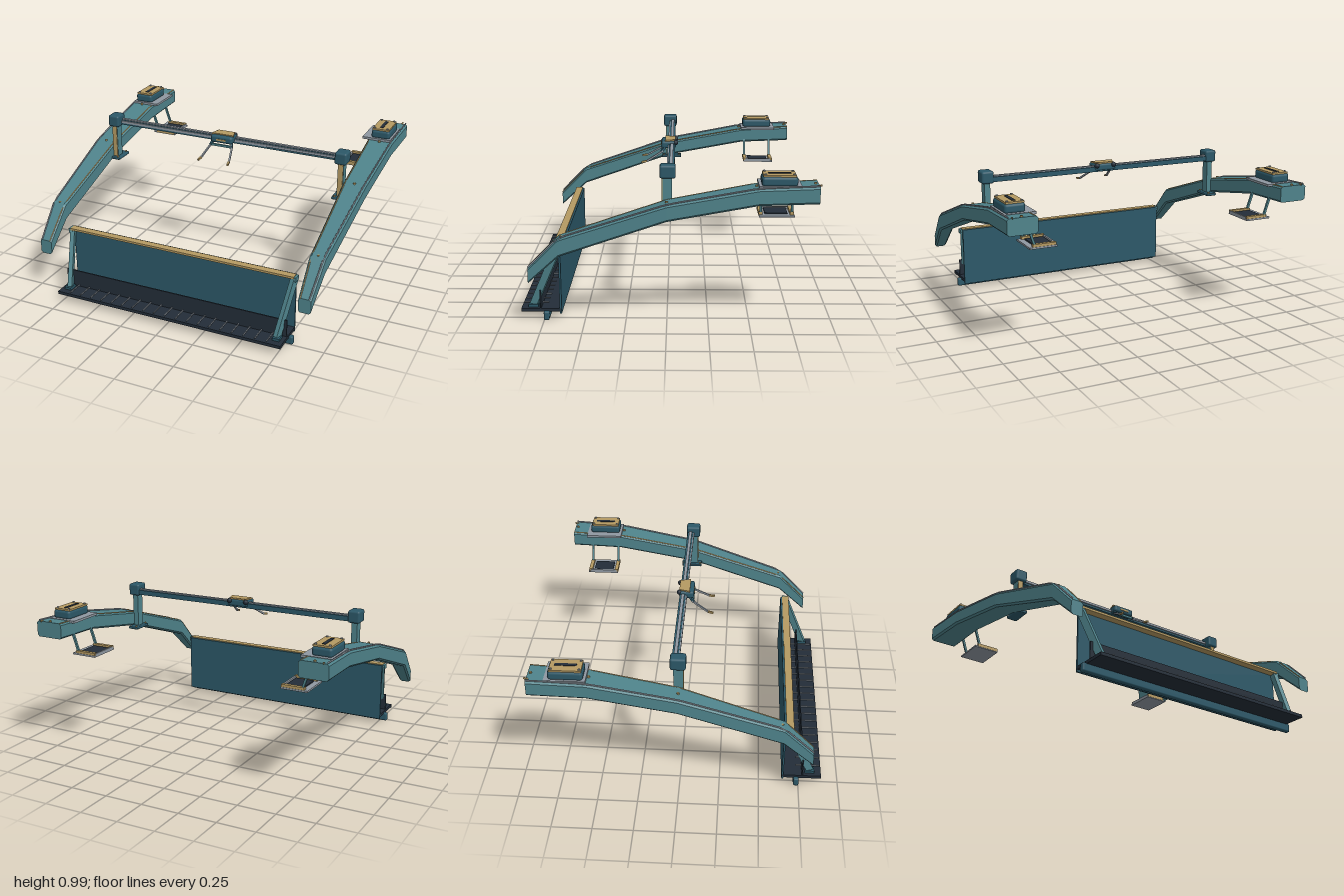
import * as THREE from 'three';
import { RoundedBoxGeometry } from 'three/addons/geometries/RoundedBoxGeometry.js';

const mat = (name, color, side = THREE.FrontSide) => {
  const m = new THREE.MeshStandardMaterial({ color, side });
  m.name = name;
  return m;
};
const teal = mat('teal', 0x4f838b);
const deep = mat('deepTeal', 0x2c5868);
const navy = mat('navy', 0x232d38);
const tan = mat('tan', 0xb59a62);
const grey = mat('grey', 0x8f98a1);

const add = (parent, name, geo, material, x = 0, y = 0, z = 0) => {
  const m = new THREE.Mesh(geo, material);
  m.name = name;
  m.position.set(x, y, z);
  parent.add(m);
  return m;
};

// Box given by its min and max on each axis; r rounds the edges
function box(parent, name, material, x0, x1, y0, y1, z0, z1, r = 0) {
  const s = [x1 - x0, y1 - y0, z1 - z0];
  const geo = r ? new RoundedBoxGeometry(...s, 2, r) : new THREE.BoxGeometry(...s);
  return add(parent, name, geo, material, (x0 + x1) / 2, (y0 + y1) / 2, (z0 + z1) / 2);
}

// Rectangular bar between two points
function bar(parent, name, material, a, b, w, h) {
  const p = new THREE.Vector3(...a), q = new THREE.Vector3(...b);
  const m = add(parent, name, new THREE.BoxGeometry(w, h, p.distanceTo(q)), material);
  m.position.copy(p).add(q).multiplyScalar(0.5);
  m.lookAt(q);
  return m;
}

// Thin pipe with straight runs through the given points
function pipe(parent, name, material, pts, r) {
  const path = new THREE.CurvePath();
  const v = pts.map(p => new THREE.Vector3(...p));
  for (let i = 1; i < v.length; i++) path.add(new THREE.LineCurve3(v[i - 1], v[i]));
  return add(parent, name, new THREE.TubeGeometry(path, 24, r, 6), material);
}

// Arm stations, front to back: z, bottom, top, inner x, outer x
const stations = [
  [0.82, 0.285, 0.38, 0.85, 0.93],
  [0.635, 0.455, 0.567, 0.845, 0.945],
  [0, 0.68, 0.78, 0.83, 0.978],
  [-0.53, 0.78, 0.88, 0.82, 0.99],
  [-0.875, 0.795, 0.897, 0.815, 1.0],
];

// Bent arm lofted from chamfered rectangles; s is the side
function armGeometry(s) {
  const c = 0.012;
  const loops = stations.map(([z, b, t, i, o]) => [
    [i + c, b], [o - c, b], [o, b + c], [o, t - c], [o - c, t], [i + c, t], [i, t - c], [i, b + c],
  ].map(([x, y]) => [s * x, y, z]));
  const pos = [];
  const tri = (a, b, d) => pos.push(...(s > 0 ? [a, b, d] : [a, d, b]).flat());
  for (let k = 0; k + 1 < loops.length; k++) {
    for (let j = 0; j < 8; j++) {
      const n = (j + 1) % 8, A = loops[k], B = loops[k + 1];
      tri(A[j], B[j], B[n]);
      tri(A[j], B[n], A[n]);
    }
  }
  const F = loops[0], R = loops[loops.length - 1];
  for (let j = 1; j < 7; j++) {
    tri(F[0], F[j], F[j + 1]);
    tri(R[0], R[j + 1], R[j]);
  }
  const g = new THREE.BufferGeometry();
  g.setAttribute('position', new THREE.Float32BufferAttribute(pos, 3));
  g.computeVertexNormals();
  return g;
}

// Box mirrored to side s
const sideBox = (p, n, m, s, x0, x1, ...rest) =>
  box(p, n, m, s > 0 ? x0 : -x1, s > 0 ? x1 : -x0, ...rest);

function buildArm(s) {
  const g = new THREE.Group();
  g.name = s > 0 ? 'leftArm' : 'rightArm';
  add(g, 'armBeam', armGeometry(s), teal);
  // Edge trims along the top of the arm
  pipe(g, 'outerHose', grey, stations.map(([z, , t, , o]) => [s * (o - 0.012), t + 0.004, z]), 0.005);
  pipe(g, 'innerTrim', tan, stations.map(([z, , t, i]) => [s * (i + 0.012), t - 0.001, z]), 0.004);
  // Studs at the bends and ends
  for (const [z, , t, i, o] of stations) {
    add(g, 'stud', new THREE.CylinderGeometry(0.008, 0.008, 0.01, 10), tan,
      s * (i + o) / 2, t + 0.002, z * 0.98);
  }
  pipe(g, 'rearPin', tan, [[s * 0.965, 0.895, -0.86], [s * 0.965, 0.9, -0.888]], 0.006);

  // Control pod on the rear
  sideBox(g, 'podPlate', grey, s, 0.785, 0.975, 0.88, 0.895, -0.775, -0.53);
  sideBox(g, 'podBody', deep, s, 0.838, 0.965, 0.888, 0.947, -0.752, -0.545, 0.018);
  sideBox(g, 'podCap', tan, s, 0.842, 0.957, 0.945, 0.956, -0.742, -0.553);
  sideBox(g, 'podSlot', navy, s, 0.886, 0.908, 0.955, 0.959, -0.715, -0.585);
  for (const z of [-0.73, -0.565]) for (const x of [0.855, 0.944]) {
    add(g, 'podScrew', new THREE.CylinderGeometry(0.007, 0.007, 0.014, 10), grey, s * x, 0.956, z);
  }

  // Hanging step
  for (const z of [-0.74, -0.555]) {
    bar(g, 'stepHanger', teal, [s * 0.825, 0.8, z], [s * 0.785, 0.68, z], 0.014, 0.014);
    sideBox(g, 'stepRail', tan, s, 0.655, 0.8, 0.672, 0.694, z - 0.012, z + 0.012);
  }
  sideBox(g, 'stepBase', grey, s, 0.652, 0.822, 0.667, 0.678, -0.755, -0.545);
  sideBox(g, 'stepPad', navy, s, 0.672, 0.785, 0.677, 0.686, -0.715, -0.58);
  sideBox(g, 'stepLip', grey, s, 0.652, 0.664, 0.67, 0.69, -0.74, -0.555);

  // Gantry post
  sideBox(g, 'postFoot', deep, s, 0.772, 0.845, 0.672, 0.69, -0.085, 0.055, 0.006);
  sideBox(g, 'post', teal, s, 0.797, 0.835, 0.685, 0.93, -0.032, 0.024);
  sideBox(g, 'postStrip', tan, s, 0.8, 0.832, 0.69, 0.91, 0.024, 0.029);
  sideBox(g, 'postHead', deep, s, 0.775, 0.855, 0.907, 0.987, -0.052, 0.042, 0.014);
  for (const z of [-0.07, 0.043]) {
    add(g, 'footBolt', new THREE.CylinderGeometry(0.007, 0.007, 0.01, 10), tan, s * 0.79, 0.692, z);
  }
  return g;
}

function buildGantry() {
  const g = new THREE.Group();
  g.name = 'gantry';
  box(g, 'crossBeam', deep, -0.78, 0.78, 0.916, 0.948, -0.045, -0.006);
  box(g, 'topRail', grey, -0.78, 0.78, 0.946, 0.956, -0.034, -0.014);
  box(g, 'frontRail', grey, -0.78, 0.78, 0.93, 0.946, -0.006, 0.002);
  // Sliding carriage with two fingers
  box(g, 'carriage', deep, -0.077, 0.077, 0.92, 0.97, -0.05, 0.046, 0.016);
  const cap = new THREE.Shape([[-0.058, 0.048], [0.058, 0.048], [0.077, -0.02], [-0.077, -0.02]]
    .map(p => new THREE.Vector2(...p)));
  const capMesh = add(g, 'carriageCap', new THREE.ExtrudeGeometry(cap, { depth: 0.009, bevelEnabled: false }), tan, 0, 0.968, 0);
  capMesh.rotation.x = -Math.PI / 2;
  box(g, 'carriagePlate', tan, -0.033, 0.033, 0.938, 0.949, 0.044, 0.05);
  bar(g, 'fingerCrossbar', teal, [-0.078, 0.905, 0.04], [0.078, 0.905, 0.04], 0.014, 0.014);
  for (const s of [-1, 1]) {
    add(g, 'carriageKnob', new THREE.SphereGeometry(0.017, 12, 8), navy, s * 0.06, 0.957, -0.048);
    bar(g, 'fingerMount', deep, [s * 0.065, 0.93, 0.02], [s * 0.075, 0.9, 0.045], 0.016, 0.016);
    bar(g, 'finger', grey, [s * 0.075, 0.905, 0.035], [s * 0.1, 0.842, 0.14], 0.011, 0.011);
    bar(g, 'fingerTip', tan, [s * 0.1, 0.842, 0.14], [s * 0.105, 0.836, 0.175], 0.012, 0.012);
  }
  return g;
}

function buildTray() {
  const g = new THREE.Group();
  g.name = 'frontTray';
  box(g, 'backPanel', deep, -0.775, 0.775, 0.035, 0.432, 0.644, 0.656);
  box(g, 'topBar', tan, -0.775, 0.775, 0.424, 0.438, 0.656, 0.703);
  box(g, 'trayFloor', navy, -0.775, 0.775, 0.048, 0.068, 0.645, 0.892);
  box(g, 'trayWall', navy, -0.77, 0.77, 0.066, 0.18, 0.77, 0.778);
  box(g, 'lowerBar', deep, -0.8, 0.8, 0, 0.056, 0.718, 0.753, 0.01);
  for (let i = -9; i <= 9; i++) {
    box(g, 'slat', grey, i * 0.076 - 0.003, i * 0.076 + 0.003, 0.074, 0.08, 0.735, 0.885);
  }
  for (const s of [-1, 1]) {
    bar(g, 'sideStrut', teal, [s * 0.725, 0.08, 0.82], [s * 0.772, 0.425, 0.672], 0.028, 0.046);
    sideBox(g, 'strutCap', teal, s, 0.76, 0.79, 0.405, 0.434, 0.655, 0.7);
    sideBox(g, 'strutFoot', deep, s, 0.705, 0.75, 0.066, 0.085, 0.79, 0.85);
  }
  return g;
}

export function createModel() {
  const model = new THREE.Group();
  model.name = 'gantryFrame';
  for (const s of [-1, 1]) model.add(buildArm(s));
  model.add(buildGantry(), buildTray());
  return model;
}
